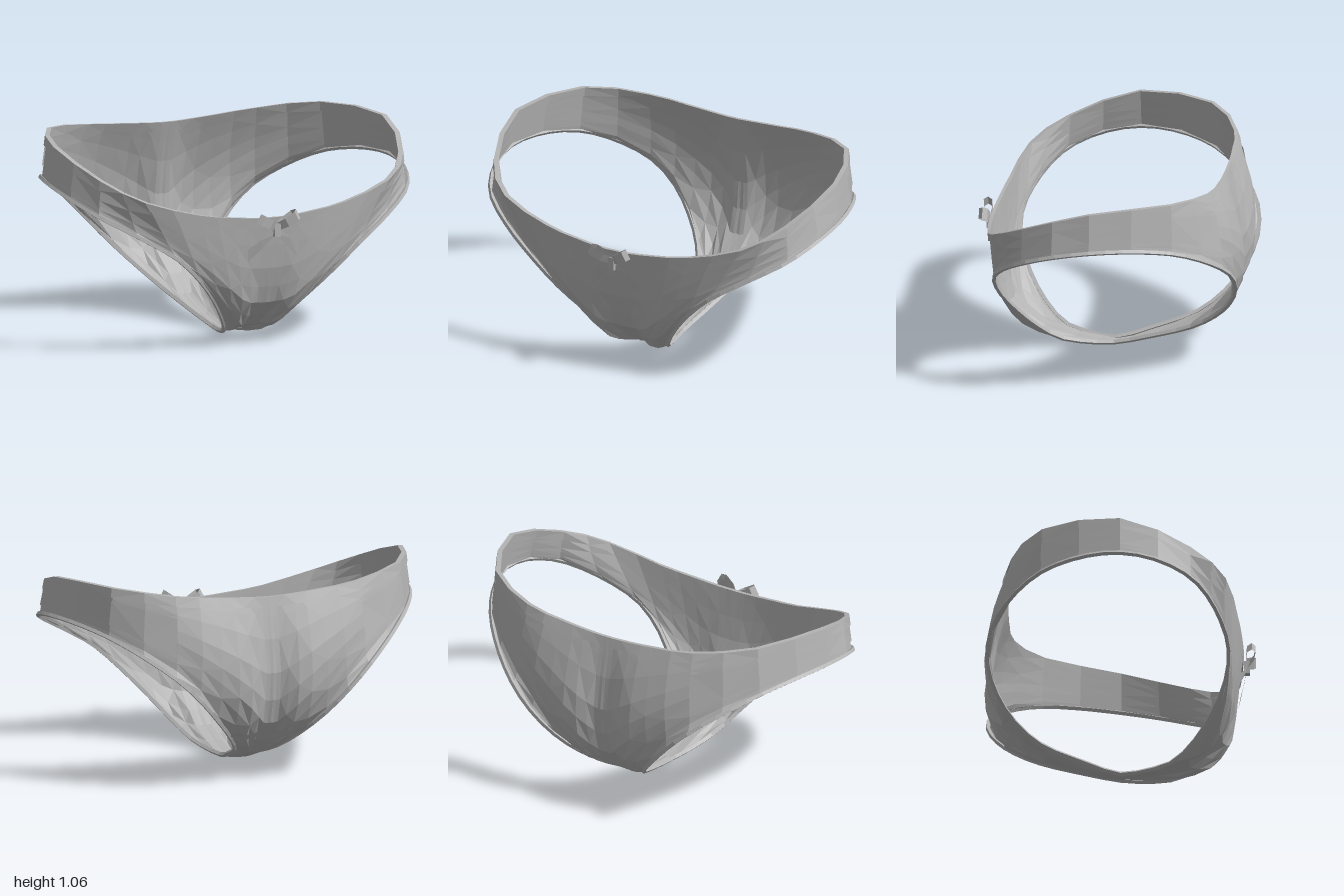
import * as THREE from 'three';

const fabric = new THREE.MeshStandardMaterial({ color: 0xb4b4b4, side: THREE.DoubleSide, flatShading: true });
fabric.name = 'grey fabric';

// Half outline from front centre to back centre: waist point, leg-edge point
const KEYS = [
  [0, 0.70, 0.63, 0, 0.01, 0],
  [0.08, 0.70, 0.63, 0.04, 0.013, 0],
  [0.24, 0.715, 0.62, 0.11, 0.05, 0.27],
  [0.42, 0.74, 0.60, 0.28, 0.26, 0.48],
  [0.70, 0.82, 0.54, 0.53, 0.51, 0.56],
  [0.87, 0.92, 0.36, 0.89, 0.73, 0.38],
  [0.955, 1.045, 0, 0.985, 0.84, 0],
  [0.79, 1.06, -0.4, 0.82, 0.80, -0.42],
  [0.50, 1.025, -0.56, 0.53, 0.60, -0.675],
  [0.28, 1.005, -0.585, 0.30, 0.36, -0.645],
  [0.14, 0.995, -0.59, 0.12, 0.15, -0.42],
  [0.04, 0.99, -0.59, 0.04, 0.013, 0],
  [0, 0.99, -0.59, 0, 0.01, 0],
];
const COUNT = (KEYS.length - 1) * 2;
const spline = (from) => new THREE.CatmullRomCurve3(
  KEYS.map((k) => new THREE.Vector3(...k.slice(from, from + 3))), false, 'catmullrom', 0.5);
const waistCurve = spline(0), legCurve = spline(3);

// Columns of the left half, two per key; the seat bulges outward towards the back
const HALF = Array.from({ length: COUNT + 1 }, (_, i) => ({
  waist: waistCurve.getPoint(i / COUNT),
  leg: legCurve.getPoint(i / COUNT),
  bulge: 0.13 * THREE.MathUtils.smoothstep(i, 13, 20),
}));
const flip = new THREE.Vector3(-1, 1, 1);
const mirrorColumn = (c) => ({ waist: c.waist.clone().multiply(flip), leg: c.leg.clone().multiply(flip), bulge: c.bulge });
const LOOP = [...HALF, ...HALF.slice(1, -1).reverse().map(mirrorColumn)];

// Depth curve of the panels from leg edge (0) up to waist (1)
const CURVE = [[0, 0], [0.01, 0.13], [0.04, 0.32], [0.11, 0.57], [0.2, 0.7], [0.32, 0.84], [0.55, 0.93], [0.78, 0.97], [1, 1]];
function rise(s) {
  let i = 1;
  while (i < CURVE.length - 1 && CURVE[i][0] < s) i++;
  const [a, b] = [CURVE[i - 1], CURVE[i]];
  return b[1] + (a[1] - b[1]) * (b[0] - s) / (b[0] - a[0]);
}

// Point on a column at height fraction s, pushed outward by a small fraction
function point({ waist, leg, bulge }, s, push = 0) {
  const z = leg.z + (waist.z - leg.z) * rise(s) - bulge * Math.sin(Math.PI * s ** 0.8);
  return [(leg.x + (waist.x - leg.x) * s) * (1 + push), leg.y + (waist.y - leg.y) * s, z * (1 + push)];
}

// Surface through a list of cross-sections
function surface(name, sections, closed = false) {
  const n = sections[0].length, index = [];
  const count = closed ? sections.length : sections.length - 1;
  for (let i = 0; i < count; i++) {
    const j = (i + 1) % sections.length;
    for (let k = 0; k < n - 1; k++) {
      const a = i * n + k, b = j * n + k;
      if ((i + k) % 2) index.push(a, b, a + 1, b, b + 1, a + 1);
      else index.push(a, b, b + 1, a, b + 1, a + 1);
    }
  }
  let geo = new THREE.BufferGeometry();
  geo.setAttribute('position', new THREE.Float32BufferAttribute(sections.flat(2), 3));
  geo.setIndex(index);
  geo = geo.toNonIndexed();
  geo.computeVertexNormals();
  const mesh = new THREE.Mesh(geo, fabric);
  mesh.name = name;
  return mesh;
}

export function createModel() {
  const group = new THREE.Group();
  group.name = 'briefs';

  // Main body
  const levels = [0, 0.01, 0.04, 0.11, 0.2, 0.32, 0.45, 0.6, 0.78, 0.9, 1];
  group.add(surface('body', LOOP.map((c) => levels.map((s) => point(c, s))), true));

  // Waistband folded over the top edge
  group.add(surface('waistband', LOOP.map((c) => {
    const s = 1 - 0.05 / (c.waist.y - c.leg.y);
    return [point(c, s, 0.014), point(c, 1, 0.014), point(c, 1, -0.014), point(c, s, -0.014)];
  }), true));

  for (const side of [1, -1]) {
    const half = side > 0 ? HALF : HALF.map(mirrorColumn);

    // Leg elastic
    const path = new THREE.CatmullRomCurve3(half.slice(2, -3).map((c) => c.leg), true);
    const elastic = new THREE.Mesh(new THREE.TubeGeometry(path, 44, 0.013, 4, true), fabric);
    elastic.name = 'legElastic';
    group.add(elastic);

    // Side tabs, in front of and behind the hip
    for (const [from, to] of [[10, 13], [13, 17]]) {
      group.add(surface('sideTab', half.slice(from, to).map((c) => [point(c, 0.26, 0.008), point(c, 0.74, 0.008)])));
    }

    // Bow loop: a teardrop ribbon
    const loop = [[0, 0], [0.05, 0.035], [0.11, 0.045], [0.13, 0.025], [0.11, 0], [0.05, -0.005], [0, 0]];
    const bowLoop = surface('bowLoop', loop.map(([x, z]) => [[x, -0.022, z], [x, 0.022 + x * 0.1, z]]));
    bowLoop.position.set(0, 0.65, 0.655);
    bowLoop.rotation.z = side > 0 ? 0.5 : Math.PI - 0.5;
    group.add(bowLoop);

    // Bow tail
    group.add(surface('bowTail', [
      [[side * 0.005, 0.61, 0.65], [side * 0.025, 0.635, 0.65]],
      [[side * 0.07, 0.54, 0.632], [side * 0.085, 0.585, 0.64]],
      [[side * 0.145, 0.47, 0.61], [side * 0.15, 0.535, 0.62]],
    ]));
  }

  // Bow knot
  const knot = new THREE.Mesh(new THREE.BoxGeometry(0.035, 0.07, 0.03), fabric);
  knot.name = 'bowKnot';
  knot.position.set(0, 0.635, 0.655);
  group.add(knot);

  // Gusset seam following the lower back from leg to leg
  group.add(surface('gussetSeam', LOOP.slice(19, 30).map((c) => {
    const s = Math.max(0, (0.23 - c.leg.y) / (c.waist.y - c.leg.y));
    return [point(c, s, 0.012), point(c, s + 0.04, 0.012)];
  })));

  return group;
}
